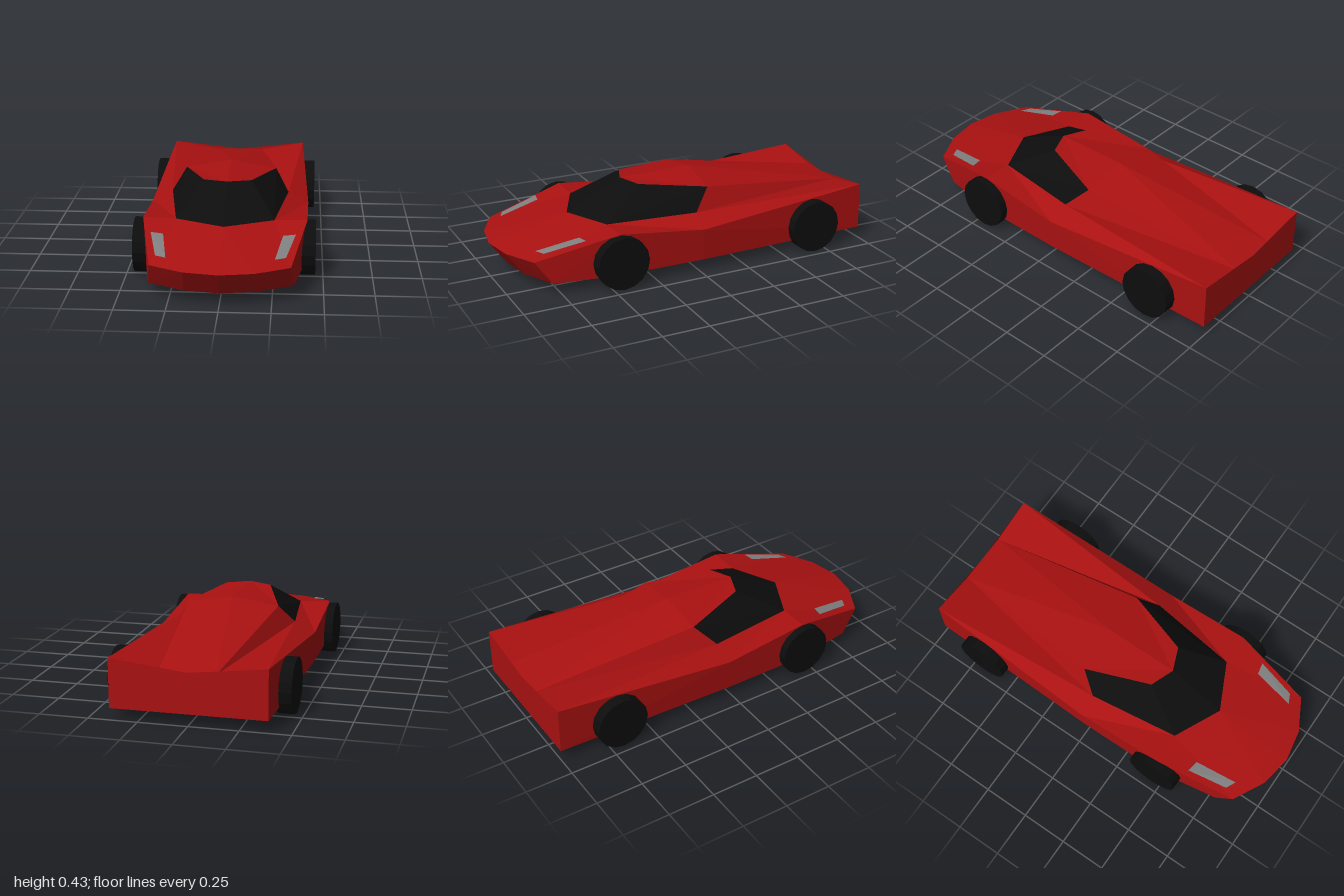
import * as THREE from 'three';

const paint = (color) => new THREE.MeshStandardMaterial({ color, flatShading: true, side: THREE.DoubleSide });

// Corner points of the left half of the shell; the right half is mirrored
const P = {
  noseMid: [0, 0.185, 1], nose: [0.17, 0.185, 0.97], noseCorner: [0.34, 0.185, 0.88],
  chinMid: [0, 0.06, 0.91], chin: [0.175, 0.06, 0.88], chinCorner: [0.355, 0.06, 0.79],
  shoulder: [0.417, 0.285, 0.45], waist: [0.423, 0.23, -0.02],
  tail: [0.39, 0.31, -1], tailInner: [0.14, 0.265, -1], tailMid: [0, 0.265, -1],
  sillFront: [0.41, 0.06, 0.45], sill: [0.415, 0.06, -0.02],
  sillRear: [0.39, 0.06, -1], sillRearMid: [0, 0.06, -1],
  screenMid: [0, 0.28, 0.57], screen: [0.25, 0.28, 0.45], beltRear: [0.315, 0.285, -0.03],
  windowTop: [0.245, 0.39, -0.13], roof: [0.125, 0.42, 0.215],
  roofFront: [0, 0.425, 0.265], roofRear: [0, 0.43, -0.14],
  lampA: [0.36, 0.26, 0.61], lampB: [0.297, 0.257, 0.622],
  lampC: [0.262, 0.212, 0.845], lampD: [0.315, 0.213, 0.82],
};

// Fans each polygon into triangles and adds its mirror image
function panel(name, material, polygons) {
  const pos = [];
  for (const text of polygons) {
    const pts = text.split(' ').map((key) => P[key]);
    for (let i = 1; i < pts.length - 1; i++) {
      const tri = [pts[0], pts[i], pts[i + 1]];
      for (const p of tri) pos.push(...p);
      for (const [x, y, z] of tri.reverse()) pos.push(-x, y, z);
    }
  }
  const geo = new THREE.BufferGeometry();
  geo.setAttribute('position', new THREE.Float32BufferAttribute(pos, 3));
  geo.computeVertexNormals();
  const mesh = new THREE.Mesh(geo, material);
  mesh.name = name;
  return mesh;
}

export function createModel() {
  const car = new THREE.Group();
  car.name = 'sportsCar';
  const red = paint(0xaa1111), black = paint(0x0d0d0d), grey = paint(0x808080);

  car.add(
    panel('hood', red, [
      'screenMid noseMid nose screen',
      'screen nose noseCorner shoulder',
    ]),
    panel('noseFascia', red, [
      'noseMid chinMid chin nose',
      'nose chin chinCorner noseCorner',
    ]),
    panel('bodySide', red, [
      'noseCorner chinCorner shoulder',
      'shoulder chinCorner sillFront',
      'shoulder sillFront sill waist',
      'waist sill sillRear tail',
    ]),
    panel('shoulderPanel', red, [
      'screen shoulder waist',
      'screen waist beltRear',
      'beltRear waist tail',
      'beltRear tail tailInner',
    ]),
    panel('roof', red, ['roofFront roof windowTop roofRear']),
    panel('rearDeck', red, [
      'roofRear windowTop tailInner tailMid',
      'windowTop beltRear tailInner',
    ]),
    panel('rearPanel', red, ['tailMid tailInner tail sillRear sillRearMid']),
    panel('windows', black, [
      'screenMid screen roof roofFront',
      'screen beltRear windowTop roof',
    ]),
    panel('headlights', grey, ['lampA lampB lampC lampD']),
  );

  // Wheels
  const wheelGeo = new THREE.CylinderGeometry(0.14, 0.14, 0.08, 16).rotateZ(Math.PI / 2);
  for (const [end, z] of [['front', 0.447], ['rear', -0.68]]) {
    for (const [side, s] of [['Left', 1], ['Right', -1]]) {
      const wheel = new THREE.Mesh(wheelGeo, black);
      wheel.name = `${end}${side}Wheel`;
      wheel.position.set(s * 0.42, 0.14, z);
      car.add(wheel);
    }
  }
  return car;
}
